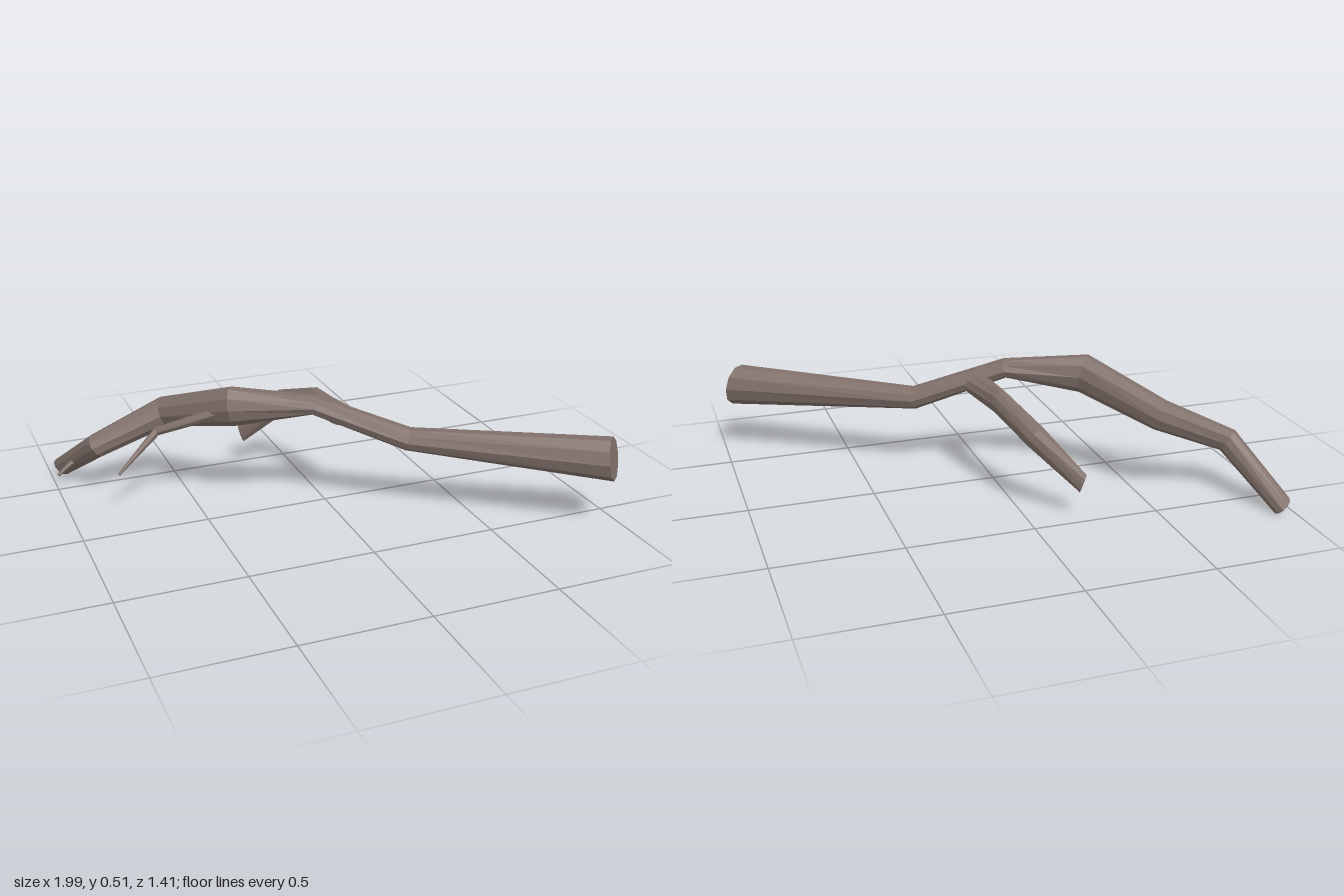
import * as THREE from 'three';

const bark = new THREE.MeshStandardMaterial({ color: 0x80706a, flatShading: true, roughness: 1 });
const UP = new THREE.Vector3(0, 1, 0);

// Closed faceted limb through rings [x, y, z, half width, half height, optional cut direction]
function limb(name, rings, sides) {
  const pts = rings.map(r => new THREE.Vector3(r[0], r[1], r[2]));
  const last = rings.length - 1;
  const dir = i => pts[i + 1].clone().sub(pts[i]).normalize();
  const pos = [], index = [];

  rings.forEach(([, , , w, h, cut], i) => {
    const t = cut ? new THREE.Vector3(...cut) : new THREE.Vector3();
    if (!cut && i > 0) t.add(dir(i - 1));
    if (!cut && i < last) t.add(dir(i));
    t.normalize();
    const side = t.clone().cross(UP).normalize();
    const up = side.clone().cross(t);
    for (let j = 0; j < sides; j++) {
      const a = (j / sides) * Math.PI * 2;
      const p = pts[i].clone().addScaledVector(side, w * Math.cos(a)).addScaledVector(up, h * Math.sin(a));
      pos.push(p.x, p.y, p.z);
    }
  });

  // Side walls
  for (let i = 0; i < last; i++) {
    for (let j = 0; j < sides; j++) {
      const k = (j + 1) % sides;
      const a = i * sides + j, b = i * sides + k, c = a + sides, d = b + sides;
      index.push(a, c, b, b, c, d);
    }
  }
  // End caps
  for (let j = 1; j < sides - 1; j++) {
    const e = last * sides;
    index.push(0, j, j + 1, e, e + j + 1, e + j);
  }

  const geo = new THREE.BufferGeometry();
  geo.setAttribute('position', new THREE.Float32BufferAttribute(pos, 3));
  geo.setIndex(index);
  const flat = geo.toNonIndexed();
  flat.computeVertexNormals();
  const mesh = new THREE.Mesh(flat, bark);
  mesh.name = name;
  return mesh;
}

export function createModel() {
  const group = new THREE.Group();
  group.name = 'fallenBranch';

  // Main bough, from the sawn thick end to the drooping thin end
  group.add(limb('mainBough', [
    [0.935, 0.298, 0.65, 0.078, 0.088, [-0.7, -0.16, -0.7]],
    [0.27, 0.315, 0.21, 0.056, 0.046],
    [-0.07, 0.455, 0.06, 0.055, 0.038],
    [-0.36, 0.443, -0.07, 0.06, 0.08],
    [-0.565, 0.345, -0.36, 0.062, 0.062],
    [-0.845, 0.22, -0.403, 0.046, 0.05],
    [-0.955, 0.033, -0.665, 0.046, 0.04, [-0.65, -0.7, -0.3]],
  ], 10));

  // Side branch bending down at the back
  group.add(limb('sideBranch', [
    [0.045, 0.395, 0.065, 0.056, 0.042],
    [0.018, 0.39, -0.145, 0.038, 0.052],
    [-0.05, 0.318, -0.36, 0.042, 0.05],
    [-0.205, 0.148, -0.468, 0.016, 0.038, [-0.8, -0.3, -0.4]],
  ], 10));

  // Thin twigs
  group.add(limb('longTwig', [
    [-0.4, 0.42, -0.09, 0.024, 0.024],
    [-0.64, 0.325, -0.21, 0.017, 0.018],
    [-0.81, 0.178, -0.175, 0.005, 0.005],
  ], 6));
  group.add(limb('shortTwig', [
    [-0.88, 0.135, -0.522, 0.013, 0.013],
    [-0.94, 0.105, -0.52, 0.011, 0.011],
    [-0.995, 0.064, -0.512, 0.007, 0.007],
  ], 6));

  return group;
}
